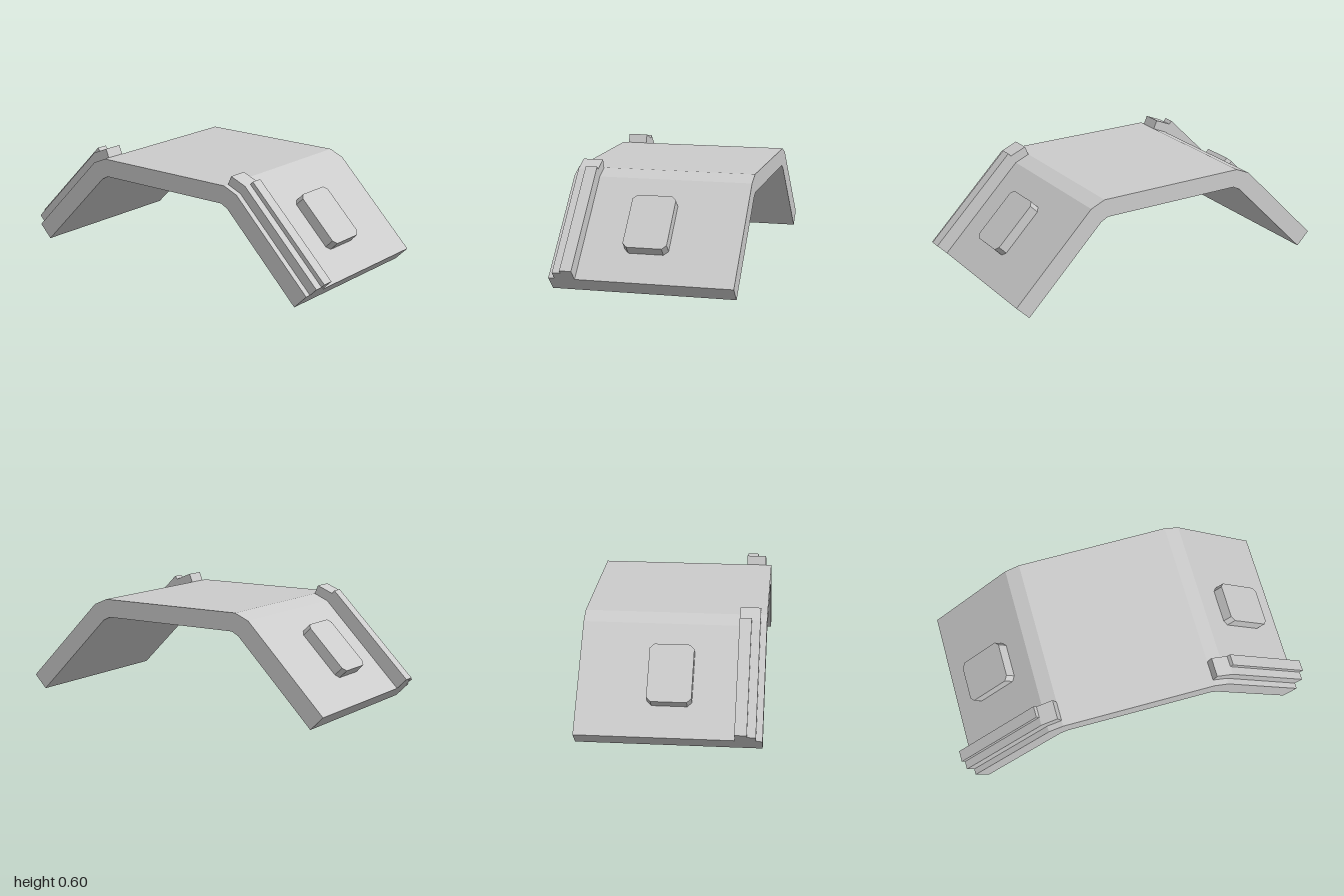
import * as THREE from 'three';

const material = new THREE.MeshStandardMaterial({ color: 0xcccccc, flatShading: true });

// Prism with the given outline, running from z0 to z1
function prism(name, points, z0, z1) {
  const shape = new THREE.Shape(points.map(([x, y]) => new THREE.Vector2(x, y)));
  const geometry = new THREE.ExtrudeGeometry(shape, { depth: z1 - z0, bevelEnabled: false });
  geometry.translate(0, 0, z0);
  const mesh = new THREE.Mesh(geometry, material);
  mesh.name = name;
  return mesh;
}

export function createModel() {
  const model = new THREE.Group();
  model.name = 'bentPlate';

  // Bent plate: outer and inner half profiles, mirrored across x
  const outer = [[0.945, 0.072], [0.5, 0.519], [0.42, 0.553]];
  const inner = [[0.4, 0.455], [0.44, 0.435], [0.873, 0]];
  const mirror = (pts) => pts.map(([x, y]) => [-x, y]).reverse();
  model.add(prism('plate', [...outer, ...mirror(outer), ...mirror(inner), ...inner], -0.48, 0.48));

  // Stepped rails near the front, each with a raised lip at the top bend
  const lip = [[0.53, 0.563], [0.44, 0.6], [0.42, 0.553], [0.5, 0.519], [0.945, 0.072]];
  const lowRail = [[0.983, 0.11], ...lip];
  const highRail = [[1, 0.127], [0.545, 0.58], ...lip];

  // Raised pad outline with clipped corners: half length along the slope, half width along z
  const a = 0.159, b = 0.115, c = 0.023;
  const padOutline = [[a, c - b], [a, b - c], [a - c, b], [c - a, b], [-a, b - c], [-a, c - b], [c - a, -b], [a - c, -b]];

  for (const [side, s] of [['left', 1], ['right', -1]]) {
    const flip = (pts) => pts.map(([x, y]) => [s * x, y]);
    model.add(prism(side + 'HighRail', flip(highRail), 0.34, 0.402));
    model.add(prism(side + 'LowRail', flip(lowRail), 0.402, 0.447));

    // Pad lies on the 45 degree slope, sunk slightly into the plate
    const pad = prism(side + 'Pad', padOutline, -0.07, 0);
    pad.geometry.rotateX(-Math.PI / 2);
    pad.geometry.rotateZ(-Math.PI / 4);
    pad.geometry.translate(0.7525, 0.3475, 0);
    if (s < 0) pad.geometry.rotateY(Math.PI);
    model.add(pad);
  }
  return model;
}
